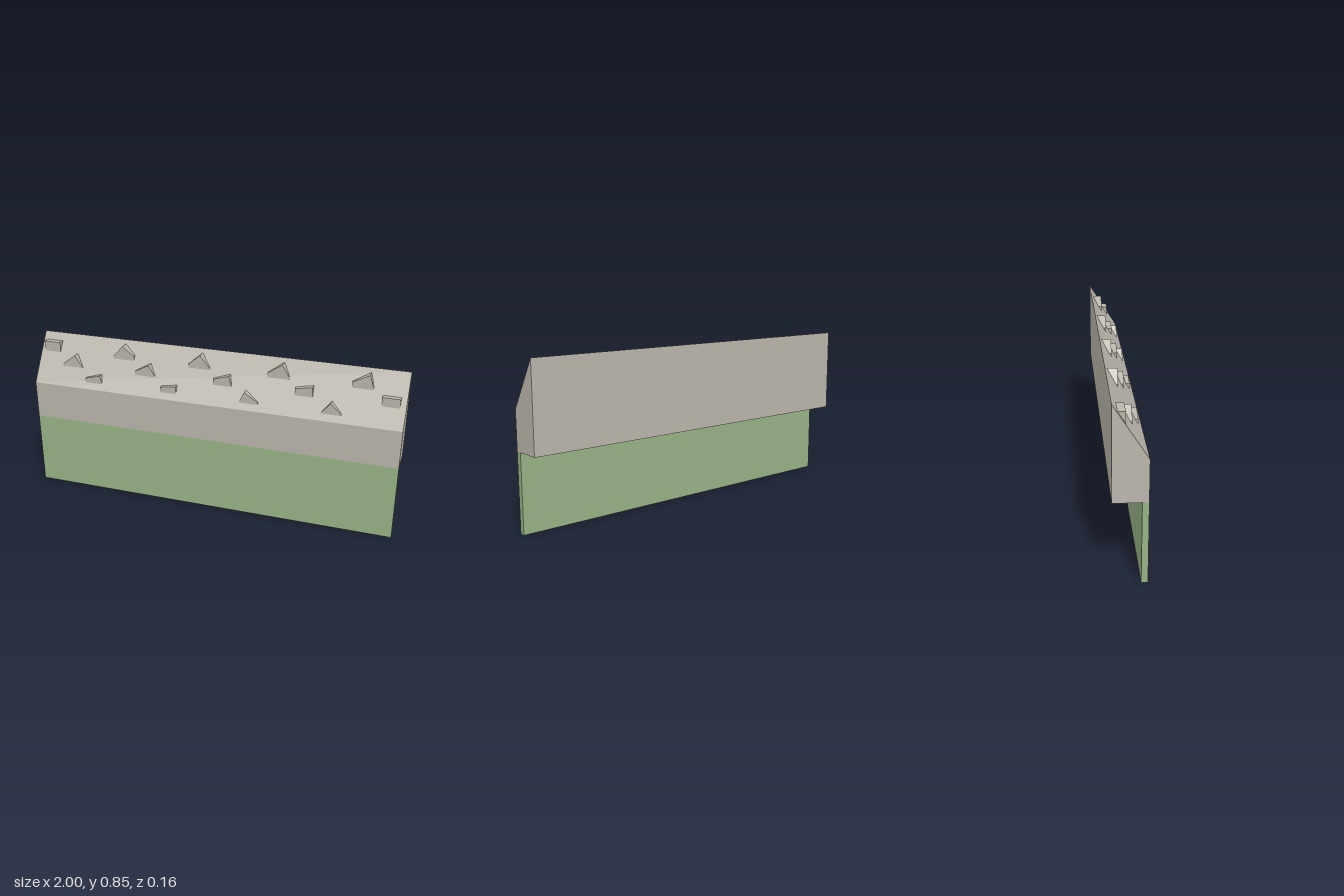
import * as THREE from 'three';

const stone = new THREE.MeshStandardMaterial({ color: 0xbab5ac });
stone.name = 'stone';
const green = new THREE.MeshStandardMaterial({ color: 0x98b286 });
green.name = 'green';

// Outlines of the upper edge of each protruding stone, as [x, y] pairs, by row
const rows = [
  { front: 0.06, base: 0.625, stones: [
    [[-0.7, 0.655], [-0.615, 0.677], [-0.602, 0.63]],
    [[-0.265, 0.66], [-0.178, 0.672], [-0.176, 0.63]],
    [[0.168, 0.635], [0.195, 0.69], [0.268, 0.643]],
    [[0.595, 0.637], [0.64, 0.69], [0.695, 0.64]],
  ] },
  { front: 0.02, base: 0.69, stones: [
    [[-0.85, 0.71], [-0.78, 0.76], [-0.735, 0.7]],
    [[-0.42, 0.717], [-0.345, 0.755], [-0.31, 0.7]],
    [[0.015, 0.725], [0.1, 0.75], [0.115, 0.7]],
    [[0.448, 0.73], [0.538, 0.745], [0.54, 0.7]],
    [[0.88, 0.74], [0.97, 0.74]],
  ] },
  { front: -0.02, base: 0.75, stones: [
    [[-0.98, 0.81], [-0.885, 0.81]],
    [[-0.565, 0.77], [-0.51, 0.83], [-0.445, 0.783]],
    [[-0.135, 0.775], [-0.07, 0.83], [-0.015, 0.765]],
    [[0.295, 0.78], [0.37, 0.83], [0.408, 0.77]],
    [[0.725, 0.785], [0.81, 0.83], [0.832, 0.765]],
  ] },
];

function extrude(points, depth, material, name) {
  const shape = new THREE.Shape(points.map(([x, y]) => new THREE.Vector2(x, y)));
  const geometry = new THREE.ExtrudeGeometry(shape, { depth, bevelEnabled: false });
  const mesh = new THREE.Mesh(geometry, material);
  mesh.name = name;
  return mesh;
}

export function createModel() {
  const model = new THREE.Group();
  model.name = 'wallSection';

  // Thin lower panel, flush with the front
  const panel = new THREE.Mesh(new THREE.BoxGeometry(2, 0.4, 0.03), green);
  panel.name = 'lowerPanel';
  panel.position.set(0, 0.2, 0.065);
  model.add(panel);

  // Sloped coping: cross-section (-z, y) swept along x
  const coping = extrude(
    [[-0.08, 0.4], [0.08, 0.4], [0.08, 0.85], [-0.08, 0.6]], 2, stone, 'slopedCoping');
  coping.rotation.y = Math.PI / 2;
  coping.position.x = -1;
  model.add(coping);

  // Rows of small stones standing out of the slope
  const stones = new THREE.Group();
  stones.name = 'protrudingStones';
  for (const { front, base, stones: outlines } of rows) {
    for (const top of outlines) {
      const first = top[0][0], last = top[top.length - 1][0];
      const mesh = extrude([[first, base], ...top, [last, base]], 0.055, stone, 'protrudingStone');
      mesh.position.z = front - 0.055;
      stones.add(mesh);
    }
  }
  model.add(stones);
  return model;
}
